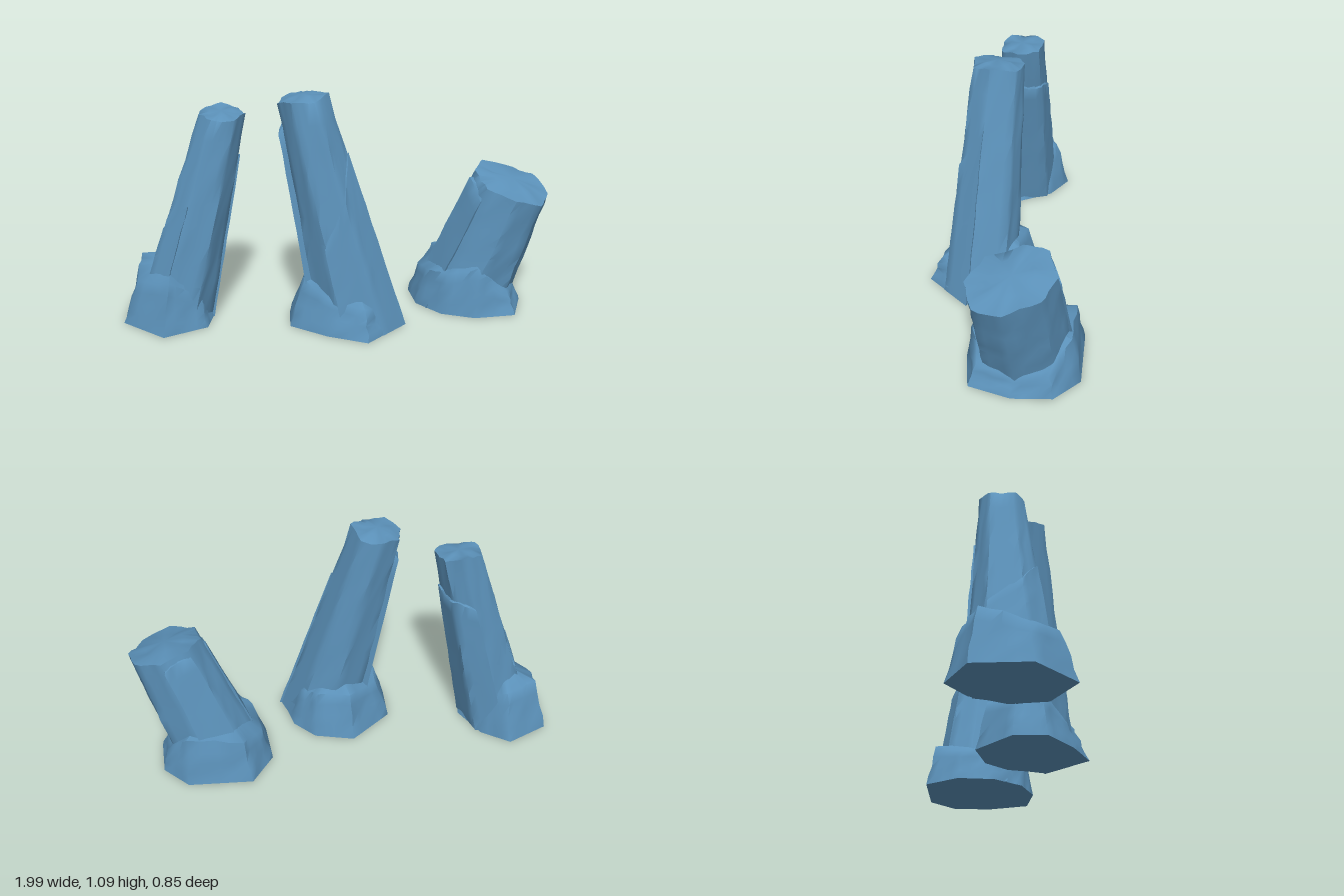
import * as THREE from 'three';
import { toCreasedNormals } from 'three/addons/utils/BufferGeometryUtils.js';

const stone = new THREE.MeshStandardMaterial({ color: 0x5b91b9 });
stone.name = 'blue crystal';

const lerp = (a, b, t) => a + (b - a) * t;
const mix = (p, q, t) => p.map((v, k) => lerp(v, q[k], t));
const mean = (pts) => [0, 1, 2].map((k) => pts.reduce((s, p) => s + p[k], 0) / pts.length);

// Repeatable random numbers in -1..1
function seeded(seed) {
  let s = seed * 7919 + 17;
  const next = () => {
    s = (s * 16807) % 2147483647;
    return (s / 2147483647) * 2 - 1;
  };
  for (let i = 0; i < 5; i++) next();
  return next;
}

// Closed solid between a lower and an upper polygon, with worn faces and a broken top.
// Corners run from +x towards +z.
function rock(name, low, high, { seed, rough = 0.004, levels = 10, chip = 0.008, lift = 0 }) {
  const rnd = seeded(seed);
  const split = 4;
  const n = low.length * split;
  const pos = [];
  const idx = [];
  const along = (poly, i) => {
    const c = Math.floor(i / split);
    return mix(poly[c], poly[(c + 1) % poly.length], (i % split) / split);
  };
  // Broad waves and small nicks along a broken edge
  const broken = (i) => chip * (Math.sin((i / n) * Math.PI * 6 + seed) + 0.5 * rnd());
  for (let j = 0; j <= levels; j++) {
    for (let i = 0; i < n; i++) {
      const p = mix(along(low, i), along(high, i), j / levels);
      if (j > 0) {
        p[0] += rnd() * rough;
        p[2] += rnd() * rough;
      }
      if (j === levels) p[1] += broken(i);
      pos.push(...p);
    }
  }
  // Broken top: one inner ring, then a middle point
  const top = mean(high);
  top[1] += lift;
  for (let i = 0; i < n; i++) {
    const p = mix(along(high, i), top, 0.45);
    pos.push(p[0], p[1] + broken(i + n / 6) * 0.6, p[2]);
  }
  const topMid = pos.length / 3;
  pos.push(...top, ...mean(low));
  for (let i = 0; i < n; i++) {
    const k = (i + 1) % n;
    for (let j = 0; j <= levels; j++) {
      const a = j * n + i, b = j * n + k;
      idx.push(a, a + n, b, b, a + n, b + n);
    }
    const inner = (levels + 1) * n;
    idx.push(topMid, inner + k, inner + i, topMid + 1, i, k);
  }
  const g = new THREE.BufferGeometry();
  g.setAttribute('position', new THREE.Float32BufferAttribute(pos, 3));
  g.setIndex(idx);
  const mesh = new THREE.Mesh(toCreasedNormals(g, 1), stone);
  mesh.name = name;
  return mesh;
}

// Slightly uneven polygon around a centre; slope tips it along x and z
function ring(center, radius, sides, turn, slope, seed) {
  const rnd = seeded(seed);
  return Array.from({ length: sides }, (_, i) => {
    const a = turn + ((i + rnd() * 0.12) / sides) * Math.PI * 2;
    const r = 1.02 + rnd() * 0.04;
    const dx = Math.cos(a) * radius[0] * r, dz = Math.sin(a) * radius[1] * r;
    return [center[0] + dx, center[1] + dx * slope[0] + dz * slope[1], center[2] + dz];
  });
}

// Raised layer over neighbouring corners of a shaft, ending part of the way up
function layer(low, high, { start, count, from, to, push }, seed) {
  const lowMid = mean(low), highMid = mean(high);
  const out = (p, m) => [lerp(m[0], p[0], push), p[1], lerp(m[2], p[2], push)];
  const bottom = [lowMid];
  const top = [mix(lowMid, highMid, (from + to) / 2)];
  for (let i = 0; i < count; i++) {
    const c = (start + i) % low.length;
    bottom.push(out(low[c], lowMid));
    top.push(mix(out(low[c], lowMid), out(high[c], highMid), lerp(from, to, i / (count - 1))));
  }
  return rock('raisedLayer', bottom, top, { seed, rough: 0.002, lift: 0.04 });
}

// Leaning shaft standing in a rough base; each base corner is [x, z, rim height]
function pillar({ name, seed, sides, turn, foot, footRadius, top, topRadius, slope, lift, base, tuck, layers }) {
  const group = new THREE.Group();
  group.name = name;
  const low = ring(foot, footRadius, sides, turn, [0, 0], seed);
  const high = ring(top, topRadius, sides, turn, slope, seed);
  group.add(rock('shaft', low, high, { seed, lift }));

  const ground = base.map(([x, z]) => [x, 0, z]);
  const rim = base.map(([x, z, y]) => {
    const c = mix(foot, top, y / top[1]);
    return [lerp(x, c[0], tuck), y, lerp(z, c[2], tuck)];
  });
  group.add(rock('base', ground, rim, { seed: seed + 10, rough: 0.007, levels: 4, lift: 0.12 }));
  layers.forEach((l, i) => group.add(layer(low, high, l, seed * 5 + i + 20)));
  return group;
}

export function createModel() {
  const model = new THREE.Group();
  model.name = 'crystalPillars';

  model.add(pillar({
    name: 'rightPillar', seed: 1, sides: 7, turn: 0,
    foot: [-0.765, 0, 0.155], footRadius: [0.18, 0.18],
    top: [-0.52, 0.975, 0.095], topRadius: [0.11, 0.105], slope: [-0.05, -0.12], lift: 0.01,
    base: [[-0.575, 0.12, 0.1], [-0.58, 0.29, 0.13], [-0.76, 0.42, 0.24], [-0.98, 0.27, 0.2],
      [-1, 0.02, 0.27], [-0.82, -0.1, 0.26], [-0.68, -0.03, 0.19]],
    tuck: 0.24,
    layers: [
      { start: 5, count: 3, from: 0.74, to: 0.8, push: 1.07 },
      { start: 2, count: 3, from: 0.6, to: 0.34, push: 1.05 },
    ],
  }));

  model.add(pillar({
    name: 'middlePillar', seed: 2, sides: 7, turn: 0.1,
    foot: [0.125, 0, 0.165], footRadius: [0.19, 0.18],
    top: [-0.145, 1.06, 0.13], topRadius: [0.11, 0.125], slope: [0.15, 0], lift: 0.02,
    base: [[0.32, 0.2, 0.08], [0.17, 0.41, 0.13], [-0.02, 0.35, 0.16], [-0.2, 0.25, 0.22],
      [-0.22, 0.1, 0.2], [-0.05, -0.09, 0.24], [0.14, -0.07, 0.22], [0.25, 0.02, 0.19]],
    tuck: 0.23,
    layers: [
      { start: 0, count: 3, from: 0.76, to: 0.38, push: 1.05 },
      { start: 3, count: 2, from: 0.87, to: 0.91, push: 1.17 },
    ],
  }));

  model.add(pillar({
    name: 'leftPillar', seed: 3, sides: 8, turn: 0,
    foot: [0.6, 0, -0.165], footRadius: [0.225, 0.22],
    top: [0.825, 0.6, -0.14], topRadius: [0.168, 0.193], slope: [-0.3, -0.2], lift: 0.025,
    base: [[0.885, -0.15, 0.08], [0.85, 0.05, 0.1], [0.66, 0.1, 0.24], [0.5, 0.06, 0.19], [0.38, -0.06, 0.17],
      [0.34, -0.23, 0.16], [0.42, -0.4, 0.2], [0.72, -0.43, 0.23], [0.85, -0.33, 0.14]],
    tuck: 0.16,
    layers: [
      { start: 3, count: 2, from: 0.9, to: 0.95, push: 1.05 },
      { start: 5, count: 2, from: 0.97, to: 0.93, push: 1.04 },
    ],
  }));

  return model;
}
